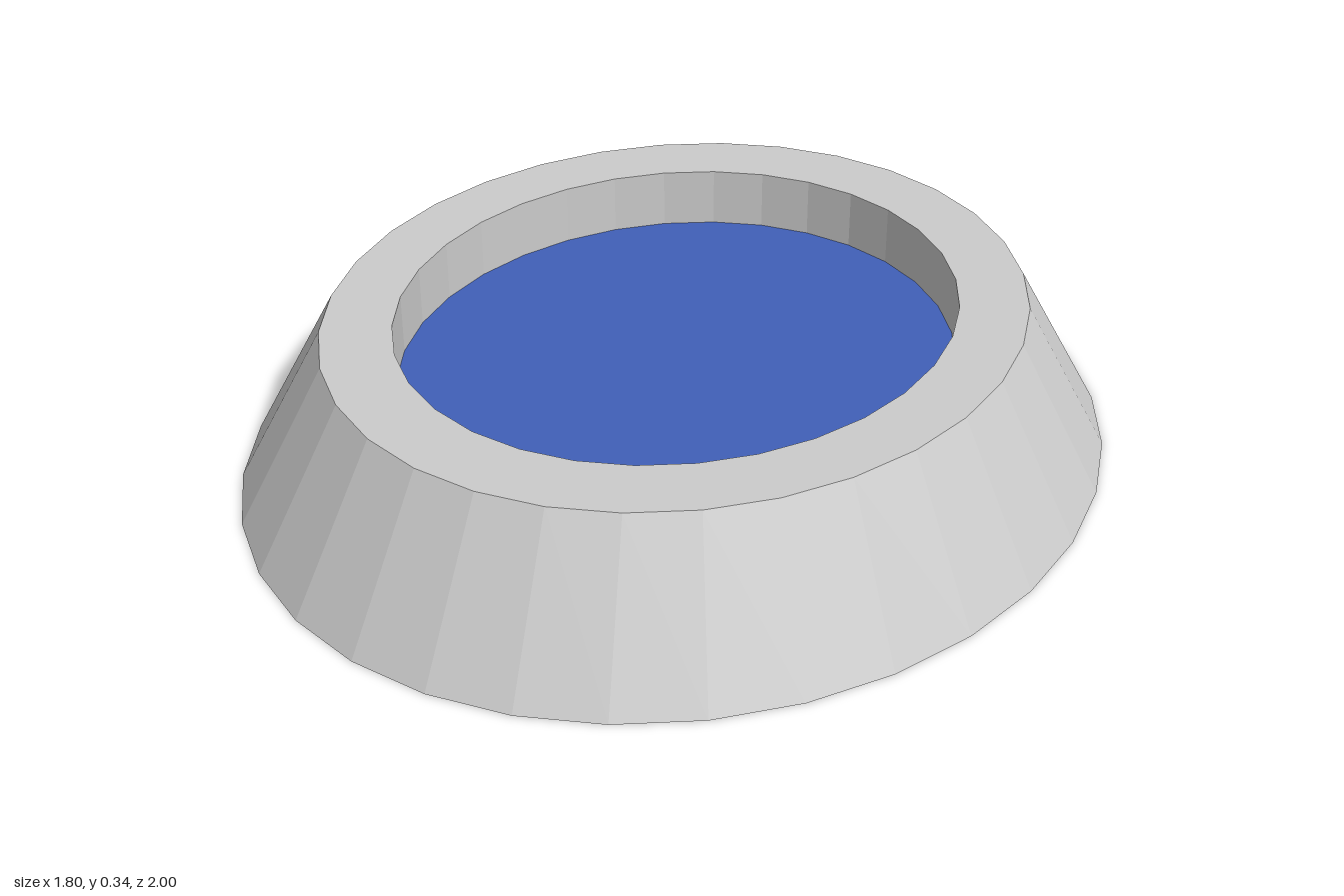
import * as THREE from 'three';

const SIDES = 32;
const WIDTH = 0.9; // oval: width relative to depth
const HEIGHT = 0.34;
const WATER_LEVEL = 0.205;
const INNER_RADIUS = 0.64;

export function createModel() {
  const group = new THREE.Group();
  group.name = 'basin';

  const stone = new THREE.MeshStandardMaterial({ color: 0xcccccc, flatShading: true });
  const blue = new THREE.MeshStandardMaterial({ color: 0x4060b8 });

  const addPart = (name, geometry, material) => {
    geometry.scale(WIDTH, 1, 1);
    const mesh = new THREE.Mesh(geometry, material);
    mesh.name = name;
    group.add(mesh);
  };

  // Sloped outer wall, flat rim and upright inner wall
  const profile = [
    [1, 0],
    [0.8, HEIGHT],
    [INNER_RADIUS, HEIGHT],
    [INNER_RADIUS, WATER_LEVEL],
  ].map(([r, y]) => new THREE.Vector2(r, y));
  addPart('basinWall', new THREE.LatheGeometry(profile, SIDES), stone);

  // Underside
  addPart('basinBottom', new THREE.CircleGeometry(1, SIDES).rotateX(Math.PI / 2), stone);

  // Water surface filling the bowl
  const water = new THREE.CircleGeometry(INNER_RADIUS, SIDES).rotateX(-Math.PI / 2);
  water.translate(0, WATER_LEVEL, 0);
  addPart('water', water, blue);

  return group;
}
